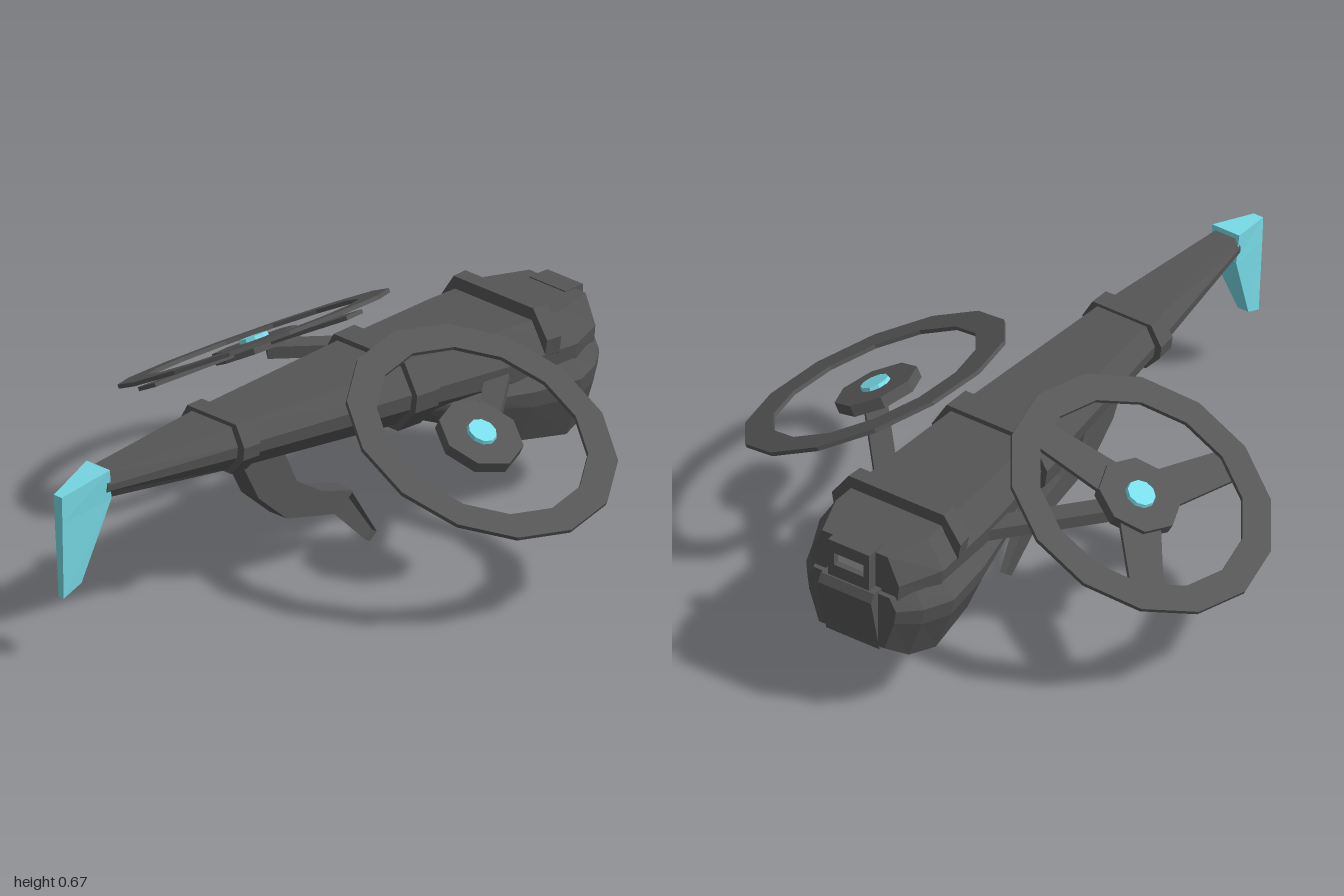
import * as THREE from 'three';

const mat = (color) => new THREE.MeshStandardMaterial({ color, flatShading: true });
const dark = mat(0x555555);
const cyan = mat(0x78dce8);
const lens = mat(0xaaaaaa);

function add(parent, name, geometry, material = dark) {
  const mesh = new THREE.Mesh(geometry, material);
  mesh.name = name;
  parent.add(mesh);
  return mesh;
}

// Closed faceted skin through loops of [x, y, z] points
function loft(loops) {
  const pos = [];
  const tri = (...pts) => pts.forEach((p) => pos.push(...p));
  const n = loops[0].length;
  for (let i = 0; i < loops.length - 1; i++) {
    for (let j = 0; j < n; j++) {
      const k = (j + 1) % n;
      const [p, q] = [loops[i], loops[i + 1]];
      tri(p[j], p[k], q[k]);
      tri(p[j], q[k], q[j]);
    }
  }
  const first = loops[0], last = loops[loops.length - 1];
  for (let j = 1; j < n - 1; j++) {
    tri(first[0], first[j + 1], first[j]);
    tri(last[0], last[j], last[j + 1]);
  }
  const g = new THREE.BufferGeometry();
  g.setAttribute('position', new THREE.Float32BufferAttribute(pos, 3));
  g.computeVertexNormals();
  return g;
}

// Eight-sided cross-section from half of its [y, z] outline
const mirrored = (x, half) => [
  ...half.map(([y, z]) => [x, y, z]),
  ...[...half].reverse().map(([y, z]) => [x, y, -z]),
];

const hullLoop = ([x, top, bot, w]) => {
  const h = top - bot;
  return mirrored(x, [[top, w * 0.74], [top - h * 0.4, w], [bot + h * 0.35, w * 0.96], [bot, w * 0.6]]);
};

const podLoop = ([x, top, bot, w]) => {
  const h = top - bot;
  return mirrored(x, [[top, w * 0.85], [top - h * 0.22, w], [top - h * 0.45, w * 0.96], [bot, w * 0.74]]);
};

// Side outline extruded evenly to both sides of z = 0
function slab(points, halfWidth) {
  const shape = new THREE.Shape(points.map((p) => new THREE.Vector2(...p)));
  return new THREE.ExtrudeGeometry(shape, { depth: halfWidth * 2, bevelEnabled: false })
    .translate(0, 0, -halfWidth);
}

function polygon(Type, radius, sides) {
  const pts = [];
  for (let i = 0; i < sides; i++) {
    const a = Math.PI / 2 + (i / sides) * Math.PI * 2;
    pts.push(new THREE.Vector2(Math.cos(a) * radius, Math.sin(a) * radius));
  }
  return new Type(pts);
}

// Tilted guard ring with hub and cap
function makeRotor(side) {
  const rotor = new THREE.Group();
  rotor.name = side > 0 ? 'frontRotor' : 'backRotor';
  const ring = polygon(THREE.Shape, 0.4, 14);
  ring.holes.push(polygon(THREE.Path, 0.312, 14));
  add(rotor, 'guardRing', new THREE.ExtrudeGeometry(ring, { depth: 0.012, bevelEnabled: false })
    .rotateX(-Math.PI / 2).translate(0, -0.006, 0));
  add(rotor, 'hub', new THREE.CylinderGeometry(0.125, 0.125, 0.034, 8).translate(0, -0.02, 0));
  add(rotor, 'hubCap', new THREE.CylinderGeometry(0.042, 0.045, 0.012, 10).translate(0, 0.002, 0), cyan);
  rotor.position.set(0.21, 0.47, 0.45 * side);
  rotor.rotation.x = side * 0.495;
  return rotor;
}

export function createModel() {
  const model = new THREE.Group();
  model.name = 'drone';

  // Long tapering hull
  add(model, 'hull', loft([
    [-0.85, 0.54, 0.465, 0.045],
    [-0.36, 0.56, 0.42, 0.11],
    [0.22, 0.565, 0.38, 0.17],
    [0.6, 0.565, 0.34, 0.2],
    [0.82, 0.56, 0.34, 0.21],
    [0.95, 0.555, 0.34, 0.15],
  ].map(hullLoop)));

  // Deep pod under the nose
  add(model, 'nosePod', loft([
    [0.3, 0.43, 0.37, 0.13],
    [0.47, 0.43, 0.3, 0.19],
    [0.64, 0.43, 0.22, 0.222],
    [0.81, 0.43, 0.19, 0.238],
    [0.9, 0.43, 0.205, 0.2],
    [0.965, 0.43, 0.25, 0.15],
  ].map(podLoop)));

  // Raised bands around the hull
  const bands = [
    [-0.4, -0.34, 0.57, 0.415, 0.13],
    [0.215, 0.3, 0.58, 0.365, 0.19],
    [0.7, 0.75, 0.6, 0.4, 0.212],
  ];
  for (const [x0, x1, top, bot, w] of bands) {
    add(model, 'band', loft([hullLoop([x0, top, bot, w]), hullLoop([x1, top, bot, w * 1.03])]));
  }

  // Nose plate, screen frame and screen
  add(model, 'nosePlate', slab([[0.88, 0.44], [0.985, 0.44], [1, 0.415], [0.96, 0.235], [0.88, 0.23]], 0.09));
  for (const y of [0.46, 0.54]) {
    add(model, 'screenFrame', new THREE.BoxGeometry(0.07, 0.04, 0.14).translate(0.945, y, 0));
  }
  for (const z of [-0.06, 0.06]) {
    add(model, 'screenFrame', new THREE.BoxGeometry(0.07, 0.1, 0.02).translate(0.945, 0.5, z));
  }
  add(model, 'screen', new THREE.BoxGeometry(0.03, 0.04, 0.1).translate(0.945, 0.5, 0), lens);

  // Tail fin, thick at its leading edge
  const finLoop = ([lead, leadY, leadW, trail, trailY, trailW]) => [
    [lead, leadY, -leadW], [lead, leadY, leadW], [trail, trailY, trailW], [trail, trailY, -trailW],
  ];
  add(model, 'tailFin', loft([
    [-0.842, 0.555, 0.046, -1, 0.51, 0.016],
    [-0.832, 0.465, 0.042, -0.997, 0.43, 0.015],
    [-0.925, 0.23, 0.018, -0.987, 0.198, 0.01],
  ].map(finLoop)), cyan);

  // Hooked landing arm with a tapering foot
  add(model, 'landingArm', slab([
    [-0.33, 0.43], [-0.25, 0.28], [-0.14, 0.185], [0.06, 0.138],
    [0.12, 0.19], [0, 0.225], [-0.1, 0.285], [-0.17, 0.43],
  ], 0.035));
  add(model, 'landingFoot', loft([
    [[0.055, 0.15, 0.022], [0.12, 0.19, 0.022], [0.12, 0.19, -0.022], [0.055, 0.15, -0.022]],
    [[0.208, 0, 0.01], [0.235, 0.022, 0.01], [0.235, 0.022, -0.01], [0.208, 0, -0.01]],
  ]));

  // Rotors and the struts that carry them
  for (const side of [1, -1]) {
    const rotor = makeRotor(side);
    model.add(rotor);
    const from = new THREE.Vector3(0.24, 0.437, 0.43 * side);
    const to = new THREE.Vector3(0.56, 0.437, 0.16 * side);
    const strut = add(model, 'rotorStrut', new THREE.BoxGeometry(0.065, 0.036, from.distanceTo(to)));
    strut.position.copy(from).lerp(to, 0.5);
    strut.lookAt(to);

    // Three blades, on the back rotor only
    if (side < 0) {
      const outline = [[0.08, -0.06], [0.35, -0.045], [0.36, 0.05], [0.08, 0.065]];
      const blade = new THREE.ExtrudeGeometry(
        new THREE.Shape(outline.map((p) => new THREE.Vector2(...p))),
        { depth: 0.012, bevelEnabled: false },
      ).rotateX(Math.PI / 2).translate(0, -0.015, 0);
      for (const degrees of [76, 196, 316]) {
        add(rotor, 'blade', blade).rotation.y = -THREE.MathUtils.degToRad(degrees);
      }
    }
  }
  return model;
}
